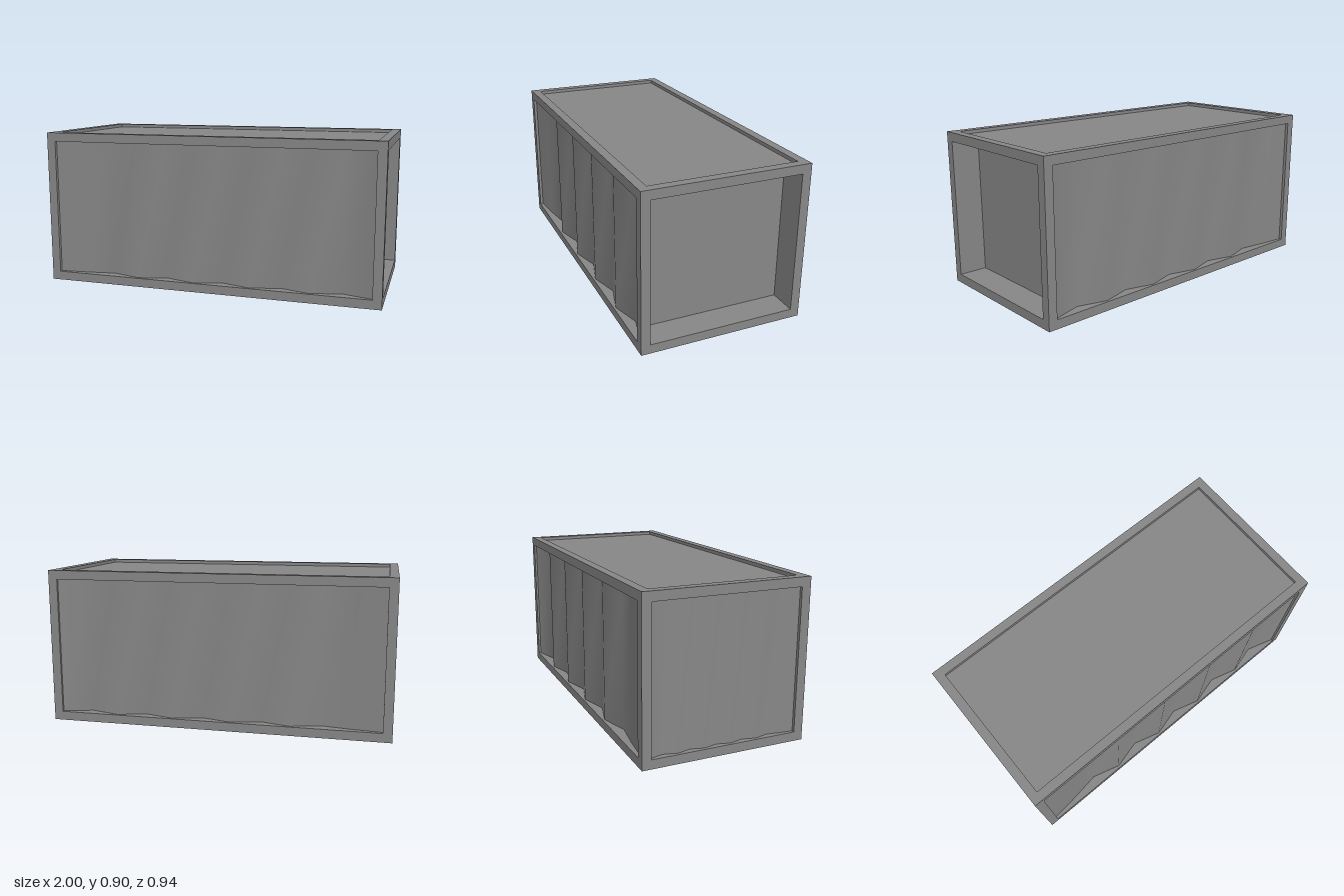
import * as THREE from 'three';

const L = 2, H = 0.905, W = 0.945, T = 0.052; // overall size and beam thickness
const IL = L - 2 * T, IH = H - 2 * T, IW = W - 2 * T; // clear openings
const mat = new THREE.MeshStandardMaterial({ color: 0x878787, side: THREE.DoubleSide });

// inward depth of each fold of a corrugated wall
const folds = [0.013, 0.062, 0.013, 0.06, 0.012, 0.06, 0.012, 0.06, 0.013, 0.062, 0.036, 0.018];

function box(parent, name, w, h, d, x, y, z) {
  const m = new THREE.Mesh(new THREE.BoxGeometry(w, h, d), mat);
  m.name = name;
  m.position.set(x, y, z);
  parent.add(m);
}

// folded sheet facing +z, set behind z = 0
function corrugated(name, width, base, scale, flip) {
  const n = folds.length - 1;
  const g = new THREE.PlaneGeometry(width, IH, n, 1);
  const p = g.attributes.position;
  for (let i = 0; i < p.count; i++) {
    const k = Math.round((p.getX(i) / width + 0.5) * n);
    p.setZ(i, -base - scale * folds[flip ? n - k : k]);
  }
  g.computeVertexNormals();
  const m = new THREE.Mesh(g, mat);
  m.name = name;
  m.position.y = H / 2;
  return m;
}

export function createModel() {
  const model = new THREE.Group();
  model.name = 'cargoContainer';

  // frame of twelve beams
  const frame = new THREE.Group();
  frame.name = 'frame';
  model.add(frame);
  const X = (L - T) / 2, Z = (W - T) / 2;
  for (const a of [-1, 1]) {
    for (const y of [T / 2, H - T / 2]) {
      box(frame, 'longRail', L, T, T, 0, y, a * Z);
      box(frame, 'endRail', T, T, IW, a * X, y, 0);
    }
    for (const b of [-1, 1]) box(frame, 'cornerPost', T, IH, T, a * X, H / 2, b * Z);
  }

  // roof and floor, slightly recessed outside and flush inside
  const P = T - 0.02;
  box(model, 'roof', IL, P, IW, 0, H - T + P / 2, 0);
  box(model, 'floor', IL, P, IW, 0, T - P / 2, 0);

  // corrugated walls
  const front = corrugated('frontWall', IL, 0, 1, true);
  front.position.z = W / 2;
  const back = corrugated('backWall', IL, 0, 1, false);
  back.position.z = -W / 2;
  back.rotation.y = Math.PI;
  const end = corrugated('rightEndWall', IW, 0.01, 0.4, false);
  end.position.x = -L / 2;
  end.rotation.y = -Math.PI / 2;
  model.add(front, back, end);

  // deep-set flat wall at the other end, with the sides of its recess
  const D = 0.165;
  box(model, 'leftEndWall', 0.02, IH, IW, L / 2 - D - 0.01, H / 2, 0);
  for (const s of [-1, 1]) {
    const side = new THREE.Mesh(new THREE.PlaneGeometry(D - T, IH), mat);
    side.name = 'recessSide';
    side.position.set(L / 2 - (D + T) / 2, H / 2, s * IW / 2);
    if (s > 0) side.rotation.y = Math.PI;
    model.add(side);
  }
  return model;
}
